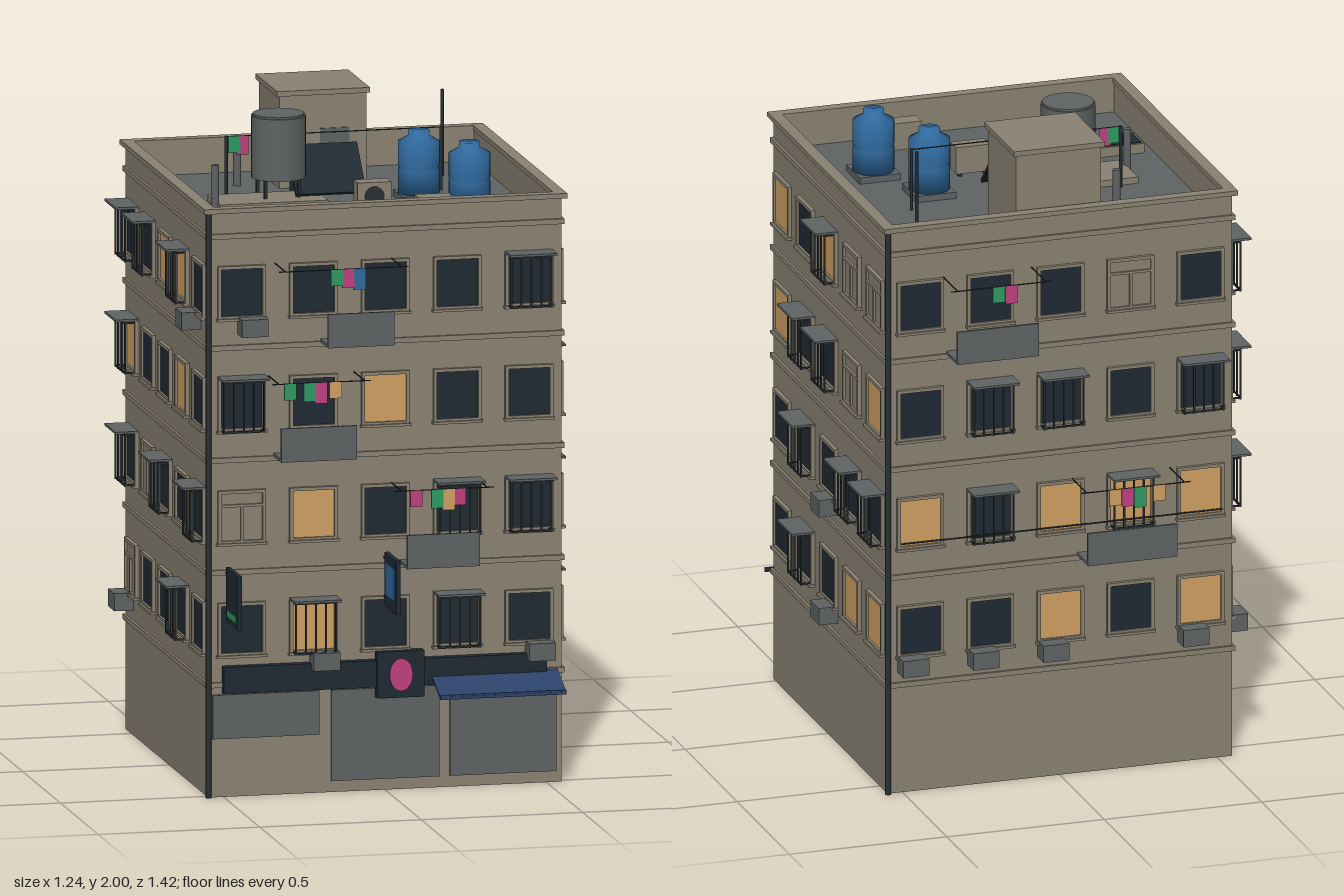
import * as THREE from 'three';

const mat = (name, color, extra = {}) => Object.assign(new THREE.MeshStandardMaterial({ color, ...extra }), { name });

export function createModel() {
  const M = {
    wall: mat('wall plaster', 0x8a8272),
    grey: mat('grey concrete', 0x5f6364),
    glass: mat('dark glass', 0x1f2a33),
    lit: mat('lit window', 0xd0a063),
    metal: mat('dark metal', 0x2b3034),
    blue: mat('tank blue', 0x306a9f),
    navy: mat('awning navy', 0x2b4269),
    green: mat('cloth green', 0x2f9a62),
    pink: mat('cloth pink', 0xc04080),
  };
  const root = new THREE.Group();
  root.name = 'apartmentBlock';
  const CZ = -0.027, HALF = 0.547, DECK = 1.7;

  const add = (parent, name, geo, m, x, y, z) => {
    const mesh = new THREE.Mesh(geo, m);
    mesh.name = name;
    mesh.position.set(x, y, z);
    parent.add(mesh);
    return mesh;
  };
  const box = (p, name, m, x, y, z, w, h, d) => add(p, name, new THREE.BoxGeometry(w, h, d), m, x, y, z);
  const cyl = (p, name, m, x, y, z, r, h, n = 24) => add(p, name, new THREE.CylinderGeometry(r, r, h, n), m, x, y, z);
  const group = (p, name) => {
    const g = new THREE.Group();
    g.name = name;
    p.add(g);
    return g;
  };

  // Main body, floor bands, roof deck
  box(root, 'body', M.wall, 0, DECK / 2 - 0.005, CZ, 2 * HALF, DECK - 0.01, 2 * HALF);
  box(root, 'roofDeck', M.grey, 0, DECK - 0.006, CZ, 2 * HALF - 0.02, 0.012, 2 * HALF - 0.02);
  for (let i = 0; i < 4; i++) box(root, 'floorBand', M.wall, 0, 0.345 + i * 0.345, CZ, 1.11, 0.016, 1.11);

  // Parapet with coping and base band, drawn as square rings
  const ring = (name, outer, inner, y, h) => {
    const s = new THREE.Shape([[-1, -1], [1, -1], [1, 1], [-1, 1]].map(([a, b]) => new THREE.Vector2(a * outer, b * outer)));
    s.holes.push(new THREE.Path([[-1, -1], [-1, 1], [1, 1], [1, -1]].map(([a, b]) => new THREE.Vector2(a * inner, b * inner))));
    const geo = new THREE.ExtrudeGeometry(s, { depth: h, bevelEnabled: false }).rotateX(-Math.PI / 2);
    add(root, name, geo, M.wall, 0, y, CZ);
  };
  ring('parapet', HALF, 0.528, 1.69, 0.11);
  ring('coping', 0.562, 0.525, 1.795, 0.015);
  ring('parapetBand', 0.555, 0.53, 1.715, 0.016);

  // Corner drain pipes
  for (const [x, z] of [[-0.547, 0.526], [0.547, -0.58]]) cyl(root, 'drainPipe', M.metal, x, 0.9, z, 0.009, 1.8, 10);

  // Windows: d dark, D dark barred, l lit, L lit barred, b blank
  const colX = c => (c - 2) * 0.2225;
  const rowY = r => 0.515 + r * 0.345;
  const addWindow = (face, kind, x, y) => {
    const g = group(face, 'window');
    g.position.set(x, y, HALF);
    const pane = { d: M.glass, D: M.glass, l: M.lit, L: M.lit, b: M.wall }[kind];
    box(g, 'pane', pane, 0, 0, 0.002, 0.13, 0.146, 0.006);
    for (const s of [-1, 1]) {
      box(g, 'frameSide', M.wall, s * 0.069, 0, 0.005, 0.01, 0.16, 0.014);
      box(g, 'frameRail', M.wall, 0, s * 0.077, 0.005, 0.148, 0.01, 0.014);
    }
    box(g, 'sill', M.wall, 0, -0.083, 0.008, 0.155, 0.008, 0.022);
    if (kind === 'b') {
      box(g, 'mullion', M.wall, 0, -0.02, 0.006, 0.008, 0.11, 0.012);
      box(g, 'transom', M.wall, 0, 0.035, 0.006, 0.13, 0.008, 0.012);
    }
    if (kind === 'D' || kind === 'L') {
      box(g, 'hood', M.grey, 0, 0.085, 0.036, 0.146, 0.007, 0.072);
      for (let i = 0; i < 5; i++) box(g, 'bar', M.metal, (i - 2) * 0.031, 0, 0.04, 0.005, 0.165, 0.005);
      for (const yy of [-0.078, 0.075]) {
        box(g, 'cageRail', M.metal, 0, yy, 0.04, 0.13, 0.005, 0.005);
        for (const s of [-1, 1]) box(g, 'cageArm', M.metal, s * 0.062, yy, 0.02, 0.005, 0.005, 0.04);
      }
    }
  };

  // Clothes hanging on a line
  const laundry = (p, xs, cols, y, z) => xs.forEach((x, i) => {
    const h = 0.05 + (i % 3) * 0.007;
    box(p, 'cloth', M[cols[i]], x, y - h / 2, z, 0.038, h, 0.004);
  });

  // Balcony slab and panel with a laundry line
  const balcony = (face, row, x0, x1, line0, line1, xs, cols) => {
    const g = group(face, 'balcony'), y = 0.695 + (row - 1) * 0.345, cx = (x0 + x1) / 2, w = x1 - x0;
    box(g, 'balconyFloor', M.grey, cx, y + 0.005, HALF + 0.052, w, 0.01, 0.104);
    box(g, 'balconyPanel', M.grey, cx, y + 0.052, HALF + 0.1, w, 0.104, 0.008);
    const ly = y + 0.248, lz = HALF + 0.138;
    box(g, 'clothesLine', M.metal, (line0 + line1) / 2, ly, lz, line1 - line0, 0.003, 0.003);
    for (const lx of [line0 + 0.02, line1 - 0.02]) box(g, 'lineBracket', M.metal, lx, ly, HALF + 0.069, 0.003, 0.003, 0.138);
    laundry(g, xs, cols, ly, lz);
  };

  // Wall air conditioner
  const wallUnit = (face, c, r, dx) => box(face, 'airConditioner', M.grey, colX(c) + dx, rowY(r) - 0.103, HALF + 0.03, 0.082, 0.054, 0.06);

  // Four sides, rows listed from the bottom, columns left to right from outside
  const sides = [
    { name: 'frontSide', rows: ['dLdDd', 'bldDD', 'Ddldd', 'ddddD'], units: [[1, 0], [4, 0], [0, 3]], dx: 0.03 },
    { name: 'leftSide', rows: ['dDdll', 'dDdDD', 'lDDbl', 'ldLbb'], units: [[2, 0], [2, 1]], dx: 0.03 },
    { name: 'backSide', rows: ['ddldl', 'lDlLl', 'dDDdD', 'dddbd'], units: [[0, 0], [1, 0], [2, 0], [4, 0]], dx: -0.03 },
    { name: 'rightSide', rows: ['bddDd', 'DbDdD', 'Lddld', 'DDlLd'], units: [[0, 0], [4, 3]], dx: -0.035 },
  ];
  const faces = sides.map((s, i) => {
    const f = group(root, s.name);
    f.position.z = CZ;
    f.rotation.y = i * Math.PI / 2;
    s.rows.forEach((row, r) => [...row].forEach((k, c) => addWindow(f, k, colX(c), rowY(r))));
    s.units.forEach(([c, r]) => wallUnit(f, c, r, s.dx));
    return f;
  });
  const [front, , back] = faces;
  balcony(front, 3, -0.2, 0.005, -0.36, 0.04, [-0.18, -0.145, -0.11], ['green', 'pink', 'blue']);
  balcony(front, 2, -0.345, -0.11, -0.38, -0.075, [-0.325, -0.265, -0.23, -0.185], ['green', 'green', 'pink', 'lit']);
  balcony(front, 1, 0.045, 0.27, 0, 0.305, [0.065, 0.13, 0.165, 0.2], ['pink', 'green', 'lit', 'pink']);
  balcony(back, 3, -0.36, -0.1, -0.39, -0.07, [-0.24, -0.2], ['green', 'pink']);
  balcony(back, 1, 0.055, 0.34, 0.02, 0.37, [0.13, 0.17, 0.21, 0.27], ['lit', 'pink', 'green', 'lit']);
  box(back, 'cable', M.metal, 0, 0.8, HALF + 0.02, 1.02, 0.004, 0.004);

  // Shop fronts: shutters, sign band, square sign, awning
  const FZ = CZ + HALF;
  const shutter = (x, y0, y1, w) => box(root, 'shutter', M.grey, x, (y0 + y1) / 2, FZ + 0.003, w, y1 - y0, 0.012);
  shutter(-0.37, 0.18, 0.315, 0.33);
  shutter(0, 0.035, 0.315, 0.335);
  shutter(0.365, 0.035, 0.315, 0.33);
  box(root, 'signBand', M.glass, -0.005, 0.362, FZ + 0.014, 1, 0.082, 0.028);
  box(root, 'squareSign', M.glass, 0.04, 0.36, FZ + 0.025, 0.146, 0.142, 0.034);
  const spot = cyl(root, 'signSpot', M.pink, 0.04, 0.36, FZ + 0.044, 0.036, 0.006, 20);
  spot.rotation.x = Math.PI / 2;
  spot.scale.z = 1.4;
  const awning = box(root, 'awning', M.navy, 0.335, 0.324, 0.595, 0.39, 0.007, 0.13);
  awning.rotation.x = 0.37;
  box(root, 'awningValance', M.navy, 0.335, 0.302, 0.654, 0.39, 0.014, 0.005);

  // Projecting blade signs
  for (const [x, y, plate] of [[-0.493, 0.63, M.green], [-0.002, 0.655, M.blue]]) {
    const g = group(root, 'bladeSign');
    g.position.set(x, y, 0.63);
    box(g, 'signCase', M.glass, 0, 0, 0, 0.014, 0.165, 0.155);
    for (const s of [-1, 1]) {
      box(g, 'signPlate', plate, s * 0.008, plate === M.blue ? 0.005 : -0.055, 0, 0.003, plate === M.blue ? 0.1 : 0.02, 0.12);
      box(g, 'signArm', M.metal, 0, s * 0.06, -0.085, 0.006, 0.006, 0.05);
    }
  }

  // Stair hut
  box(root, 'stairHut', M.wall, -0.006, 1.84, -0.41, 0.27, 0.29, 0.27);
  box(root, 'stairHutRoof', M.wall, -0.006, 1.992, -0.41, 0.288, 0.016, 0.286);
  box(root, 'stairHutDoor', M.grey, 0.03, 1.79, -0.274, 0.09, 0.18, 0.006);

  // Grey water tower on legs above a low plinth
  box(root, 'plinth', M.wall, -0.228, DECK + 0.01, -0.052, 0.335, 0.02, 0.165);
  cyl(root, 'waterTower', M.grey, -0.187, 1.87, -0.09, 0.083, 0.19, 28);
  cyl(root, 'waterTowerLid', M.grey, -0.187, 1.966, -0.09, 0.078, 0.01, 28);
  for (const a of [-1, 1]) for (const b of [-1, 1]) box(root, 'towerLeg', M.metal, -0.187 + a * 0.052, 1.74, -0.09 + b * 0.052, 0.01, 0.09, 0.01);

  // Blue tanks
  const tankProfile = [[0, 0], [0.063, 0], [0.063, 0.075], [0.059, 0.08], [0.063, 0.085], [0.063, 0.16], [0.032, 0.178], [0.032, 0.195], [0, 0.195]];
  for (const [x, z] of [[0.233, -0.027], [0.34, 0.185]]) {
    box(root, 'tankBase', M.grey, x, DECK + 0.01, z, 0.13, 0.02, 0.13);
    const geo = new THREE.LatheGeometry(tankProfile.map(p => new THREE.Vector2(...p)), 28);
    add(root, 'blueTank', geo, M.blue, x, DECK + 0.018, z);
  }

  // Tilted solar panel
  const panel = box(root, 'solarPanel', M.glass, -0.037, 1.79, -0.098, 0.218, 0.01, 0.18);
  panel.rotation.x = 0.8;
  for (const x of [-0.13, 0.055]) box(root, 'solarLeg', M.metal, x, 1.775, -0.155, 0.008, 0.15, 0.008);
  for (const y of [1.78, 1.85]) box(root, 'solarBrace', M.grey, -0.037, y, -0.17, 0.218, 0.008, 0.012);

  // Roof condensers with round fans
  for (const [x, z] of [[0.055, 0.122], [0.182, 0.385]]) {
    box(root, 'condenser', M.wall, x, DECK + 0.05, z, 0.105, 0.085, 0.056);
    cyl(root, 'condenserFan', M.metal, x, DECK + 0.05, z + 0.029, 0.03, 0.005, 18).rotation.x = Math.PI / 2;
    for (const s of [-1, 1]) box(root, 'condenserFoot', M.metal, x + s * 0.04, DECK + 0.004, z, 0.01, 0.008, 0.06);
  }

  // Skylight
  box(root, 'skylightCurb', M.wall, -0.426, DECK + 0.015, 0.174, 0.148, 0.03, 0.105);
  box(root, 'skylightGlass', M.glass, -0.426, DECK + 0.031, 0.174, 0.132, 0.005, 0.09);

  // Vents, antenna, roof clothes line
  for (const [x, z] of [[-0.253, -0.355], [-0.4, -0.015]]) cyl(root, 'ventPipe', M.grey, x, 1.765, z, 0.012, 0.14, 12);
  cyl(root, 'antenna', M.metal, 0.385, 1.83, -0.365, 0.005, 0.27, 8);
  for (const x of [-0.335, 0.33]) cyl(root, 'linePole', M.metal, x, 1.795, -0.148, 0.005, 0.2, 8);
  box(root, 'roofLine', M.metal, 0, 1.893, -0.148, 0.665, 0.003, 0.003);
  laundry(root, [-0.31, -0.285], ['green', 'pink'], 1.893, -0.148);

  return root;
}
